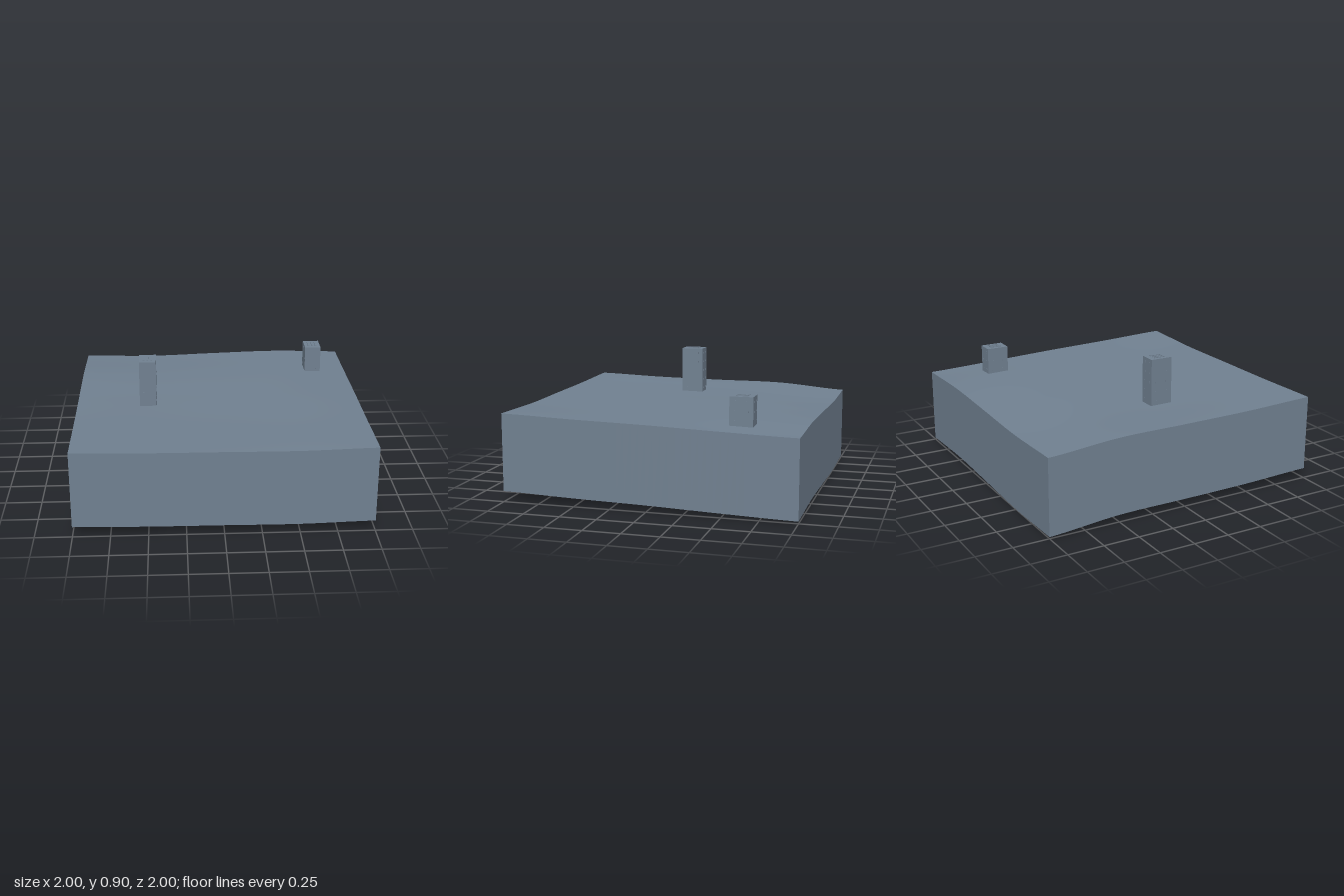
import * as THREE from 'three';

const WALL = 0.53; // height of the skirt below the ground line

// Height along each border, evenly spaced from -1 to 1
const border = (...h) => {
  const curve = new THREE.SplineCurve(h.map((y, i) => new THREE.Vector2(i, y)));
  return (s) => curve.getPoint(THREE.MathUtils.clamp((s + 1) / 2, 0, 1)).y;
};
const front = border(0.607, 0.599, 0.597, 0.595, 0.608);
const back = border(0.546, 0.535, 0.55, 0.562, 0.549);
const right = border(0.549, 0.563, 0.58, 0.592, 0.608);
const left = border(0.546, 0.584, 0.587, 0.592, 0.607);

// Smooth patch blended between the four borders
function groundHeight(x, z) {
  const u = (x + 1) / 2, v = (z + 1) / 2, mix = THREE.MathUtils.lerp;
  return mix(back(x), front(x), v) + mix(left(z), right(z), u)
    - mix(mix(back(-1), back(1), u), mix(front(-1), front(1), u), v);
}

export function createModel() {
  const model = new THREE.Group();
  const slate = new THREE.MeshStandardMaterial({ color: 0x708090, side: THREE.DoubleSide });
  slate.name = 'slate grey';

  const add = (parent, name, geometry, x = 0, y = 0, z = 0) => {
    const mesh = new THREE.Mesh(geometry, slate);
    mesh.name = name;
    mesh.position.set(x, y, z);
    parent.add(mesh);
    return mesh;
  };

  // Rolling ground sheet
  const ground = new THREE.PlaneGeometry(2, 2, 40, 40).rotateX(-Math.PI / 2);
  const gp = ground.attributes.position;
  for (let i = 0; i < gp.count; i++) gp.setY(i, groundHeight(gp.getX(i), gp.getZ(i)));
  ground.computeVertexNormals();
  add(model, 'ground', ground);

  // Four skirt walls that follow the ground edge, open underneath
  ['frontWall', 'rightWall', 'backWall', 'leftWall'].forEach((name, k) => {
    const wall = new THREE.PlaneGeometry(2, 1, 40, 1).translate(0, 0, 1).rotateY(k * Math.PI / 2);
    const p = wall.attributes.position;
    for (let i = 0; i < p.count; i++) {
      const top = groundHeight(p.getX(i), p.getZ(i));
      p.setY(i, p.getY(i) > 0 ? top : top - WALL);
    }
    wall.computeVertexNormals();
    add(model, name, wall);
  });

  // Box tower with roof ridges and rows of small side panels
  function tower(name, x, z, top, rows) {
    const group = new THREE.Group();
    group.name = name;
    model.add(group);
    const w = 0.118, d = 0.158, base = groundHeight(x, z) - 0.004, h = top - base;
    add(group, 'towerBody', new THREE.BoxGeometry(w, h, d), x, base + h / 2, z);
    for (const i of [-1, 0, 1]) {
      add(group, 'roofRidge', new THREE.BoxGeometry(0.012, 0.006, 0.08), x + i * 0.027, top + 0.002, z);
    }
    for (let r = 0; r < rows; r++) {
      const y = base + h * (r + 0.5) / rows;
      for (const s of [-1, 1]) {
        for (const c of [-1, 1]) {
          add(group, 'sidePanel', new THREE.BoxGeometry(0.003, 0.012, 0.012), x + s * w / 2, y, z + c * 0.04);
          add(group, 'endPanel', new THREE.BoxGeometry(0.012, 0.012, 0.003), x + c * 0.03, y, z + s * d / 2);
        }
      }
    }
  }
  tower('tallTower', -0.5, 0.08, 0.904, 5);
  tower('shortTower', 0.75, -0.585, 0.759, 3);

  return model;
}
